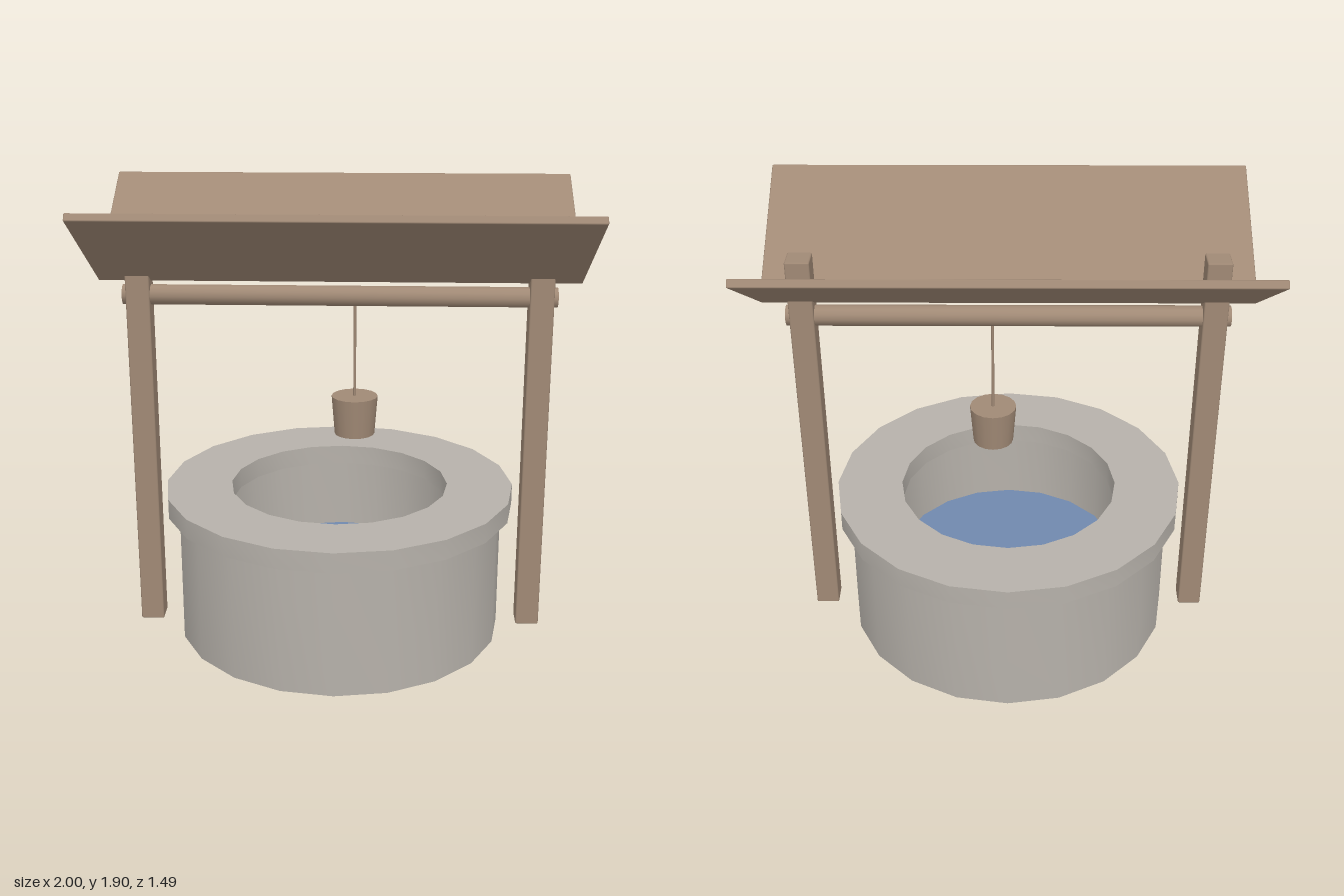
import * as THREE from 'three';
import { toCreasedNormals } from 'three/addons/utils/BufferGeometryUtils.js';
import { RoundedBoxGeometry } from 'three/addons/geometries/RoundedBoxGeometry.js';

export function createModel() {
  const group = new THREE.Group();
  const material = (name, color) => {
    const m = new THREE.MeshStandardMaterial({ color });
    m.name = name;
    return m;
  };
  const stone = material('stone', 0xb6b1aa);
  const wood = material('wood', 0xa08975);
  const water = material('water', 0x7088ad);

  const add = (name, geometry, mat, x = 0, y = 0, z = 0) => {
    const mesh = new THREE.Mesh(geometry, mat);
    mesh.name = name;
    mesh.position.set(x, y, z);
    group.add(mesh);
    return mesh;
  };

  // Hollow stone ring with a square cross-section
  const ring = (inner, outer, y0, y1) => {
    const profile = [[inner, y0], [outer, y0], [outer, y1], [inner, y1], [inner, y0]]
      .map(([r, y]) => new THREE.Vector2(r, y));
    return toCreasedNormals(new THREE.LatheGeometry(profile, 20), 0.7);
  };
  add('wellWall', ring(0.5, 0.7, 0, 0.56), stone);
  add('wellRim', ring(0.466, 0.747, 0.56, 0.645), stone);

  // Water inside the shaft
  add('water', new THREE.CylinderGeometry(0.5, 0.5, 0.04, 20), water, 0, 0.225, 0);

  // Posts and the two roof panels, which rise outwards in a V
  const tilt = THREE.MathUtils.degToRad(32);
  const length = 0.655, thickness = 0.033;
  for (const side of [1, -1]) {
    const label = side > 0;
    add(label ? 'leftPost' : 'rightPost',
      new RoundedBoxGeometry(0.1, 1.73, 0.1, 1, 0.006), wood, side * 0.833, 0.865, 0);

    const z = Math.cos(tilt) * length / 2 - Math.sin(tilt) * thickness / 2;
    const y = 1.53 + Math.sin(tilt) * length / 2 + Math.cos(tilt) * thickness / 2;
    const panel = add(label ? 'frontRoofPanel' : 'backRoofPanel',
      new RoundedBoxGeometry(2, thickness, length, 1, 0.005), wood, 0, y, side * z);
    panel.rotation.x = -side * tilt;
  }

  // Axle through both posts
  const axle = add('axle',
    toCreasedNormals(new THREE.CylinderGeometry(0.043, 0.043, 1.8, 12), 0.7), wood, 0, 1.473, 0);
  axle.rotation.z = Math.PI / 2;

  // Rope and bucket
  add('rope', new THREE.CylinderGeometry(0.006, 0.006, 0.44, 8), wood, 0.065, 1.255, 0);
  add('bucket', new THREE.CylinderGeometry(0.098, 0.085, 0.167, 16), wood, 0.065, 0.957, 0);

  return group;
}
